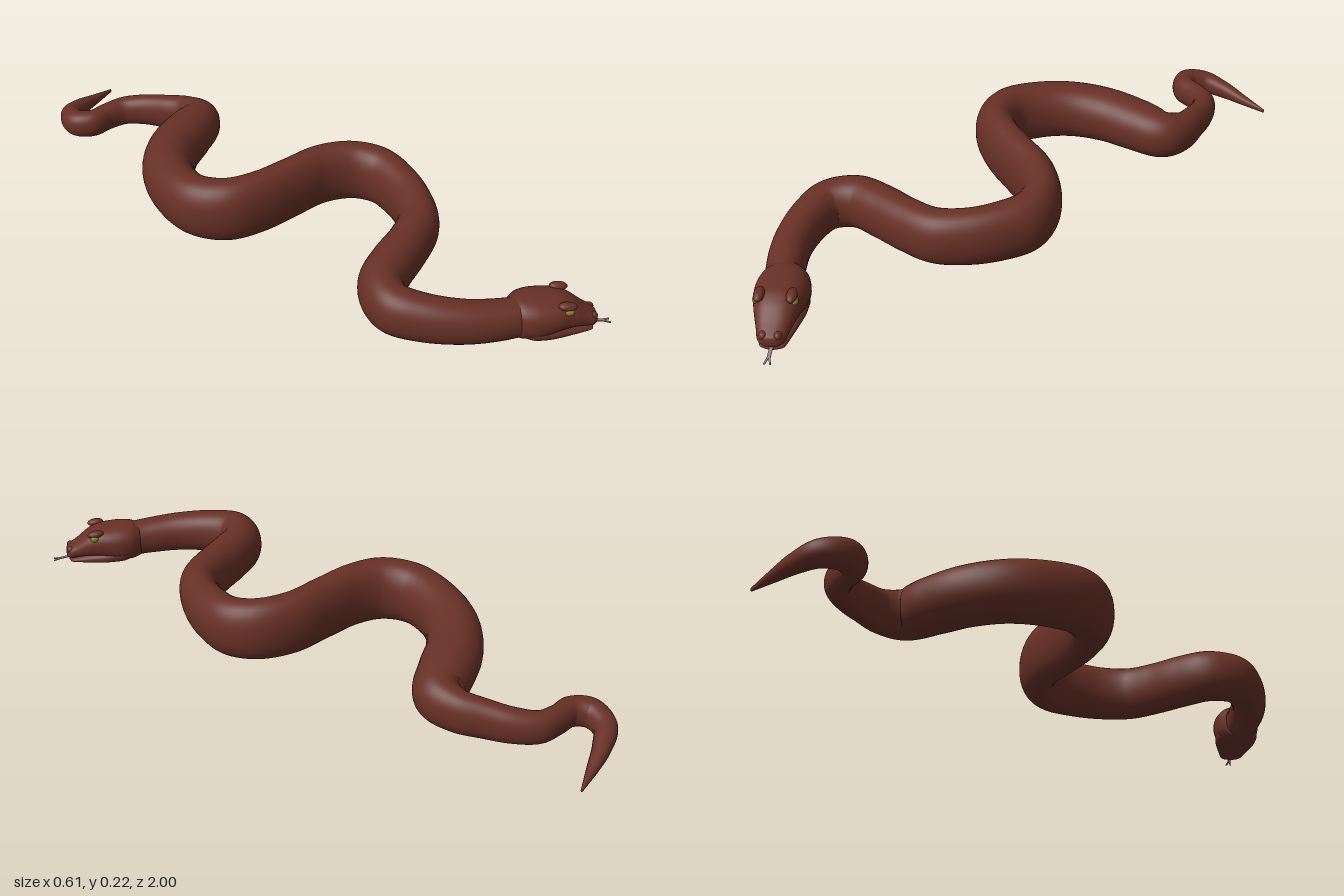
import * as THREE from 'three';

const V = (x, y, z) => new THREE.Vector3(x, y, z);

// Skin closed rounded cross-sections { c, t, hw, y0, y1, n } into one smooth surface
function loft(sections, sides) {
  const pos = [], idx = [];
  for (const { c, t, hw, y0, y1, n } of sections) {
    for (let j = 0; j < sides; j++) {
      const a = (j / sides) * Math.PI * 2;
      const round = (v) => Math.sign(v) * Math.abs(v) ** (2 / n);
      const u = round(Math.cos(a)) * hw;
      pos.push(c.x + t.z * u, (y0 + y1) / 2 + round(Math.sin(a)) * (y1 - y0) / 2, c.z - t.x * u);
    }
  }
  const last = sections.length - 1;
  for (let i = 0; i < last; i++) {
    for (let j = 0; j < sides; j++) {
      const a = i * sides + j, b = i * sides + (j + 1) % sides;
      idx.push(a, b, b + sides, a, b + sides, a + sides);
    }
  }
  // end caps
  for (const k of [0, last]) {
    const s = sections[k], centre = pos.length / 3;
    pos.push(s.c.x, (s.y0 + s.y1) / 2, s.c.z);
    for (let j = 0; j < sides; j++) {
      const a = k * sides + j, b = k * sides + (j + 1) % sides;
      idx.push(centre, k ? a : b, k ? b : a);
    }
  }
  const g = new THREE.BufferGeometry();
  g.setAttribute('position', new THREE.Float32BufferAttribute(pos, 3));
  g.setIndex(idx);
  g.computeVertexNormals();
  return g;
}

// Straight loft along z through rows of [z, halfWidth, bottom, top]
function headLoft(rows, n) {
  const a = new THREE.CatmullRomCurve3(rows.map((r) => V(r[0], r[2], r[3])), false, 'catmullrom', 0.4);
  const b = new THREE.CatmullRomCurve3(rows.map((r) => V(r[1], 0, 0)), false, 'catmullrom', 0.4);
  const sections = [];
  for (let i = 0; i <= 48; i++) {
    const p = a.getPoint(i / 48);
    sections.push({ c: V(0, 0, p.x), t: V(0, 0, 1), hw: b.getPoint(i / 48).x, y0: p.y, y1: p.z, n });
  }
  return loft(sections, 40);
}

export function createModel() {
  const skin = new THREE.MeshStandardMaterial({ color: 0x673026 });
  skin.name = 'brown skin';
  const eyeMat = new THREE.MeshStandardMaterial({ color: 0x8a8628 });
  eyeMat.name = 'olive eye';
  const tongueMat = new THREE.MeshStandardMaterial({ color: 0x9a7d82 });
  tongueMat.name = 'pale tongue';
  const model = new THREE.Group();
  model.name = 'snake';
  const add = (parent, name, geo, mat) => {
    const m = new THREE.Mesh(geo, mat);
    m.name = name;
    parent.add(m);
    return m;
  };

  // Body path from tail tip to neck: [x, z, width, top]
  const path = [
    [0.197, -0.992, 0.006, 0.012], [0.11, -0.982, 0.034, 0.035], [0.03, -0.97, 0.054, 0.06],
    [-0.04, -0.945, 0.07, 0.08], [-0.069, -0.889, 0.078, 0.092], [-0.04, -0.842, 0.074, 0.096],
    [0.02, -0.828, 0.068, 0.1], [0.08, -0.804, 0.076, 0.104], [0.121, -0.746, 0.08, 0.115],
    [0.148, -0.672, 0.084, 0.128], [0.168, -0.593, 0.1, 0.142], [0.148, -0.524, 0.142, 0.16],
    [0.053, -0.492, 0.166, 0.174], [-0.048, -0.46, 0.169, 0.182], [-0.143, -0.397, 0.164, 0.19],
    [-0.206, -0.307, 0.154, 0.199], [-0.233, -0.201, 0.144, 0.209], [-0.196, -0.111, 0.136, 0.216],
    [-0.111, -0.058, 0.122, 0.219], [0.005, -0.026, 0.12, 0.217], [0.122, 0.005, 0.12, 0.214],
    [0.206, 0.069, 0.124, 0.208], [0.236, 0.148, 0.13, 0.201], [0.217, 0.228, 0.128, 0.194],
    [0.172, 0.312, 0.124, 0.186], [0.1, 0.381, 0.128, 0.18], [0.005, 0.407, 0.128, 0.177],
    [-0.1, 0.421, 0.134, 0.175], [-0.19, 0.444, 0.132, 0.171], [-0.238, 0.513, 0.126, 0.163],
    [-0.217, 0.598, 0.118, 0.153], [-0.159, 0.693, 0.112, 0.14], [-0.09, 0.762, 0.11, 0.129],
    [-0.015, 0.82, 0.1, 0.122],
  ];
  const spine = new THREE.CatmullRomCurve3(path.map((p) => V(p[0], 0, p[1])));
  const size = new THREE.CatmullRomCurve3(path.map((p) => V(p[2], p[3], 0)), false, 'catmullrom', 0.5);
  const rings = [];
  for (let i = 0; i <= 330; i++) {
    const u = i / 330, s = size.getPoint(u);
    const y0 = 0.008 * Math.min(1, u * 3);
    rings.push({ c: spine.getPoint(u), t: spine.getTangent(u), hw: Math.max(s.x, 0.004) / 2, y0, y1: s.y, n: 2.15 });
  }
  add(model, 'body', loft(rings, 36), skin);

  // Head, turned to the model's left
  const head = new THREE.Group();
  head.name = 'head';
  head.position.set(-0.03, 0, 0.8);
  head.rotation.y = Math.PI / 4;
  model.add(head);

  add(head, 'skull', headLoft([
    [-0.03, 0.046, 0.014, 0.118], [-0.005, 0.066, 0.008, 0.129], [0.03, 0.075, 0.008, 0.132],
    [0.07, 0.074, 0.018, 0.13], [0.11, 0.066, 0.028, 0.126], [0.145, 0.056, 0.03, 0.11],
    [0.18, 0.045, 0.027, 0.083], [0.205, 0.038, 0.023, 0.067], [0.218, 0.026, 0.027, 0.058],
    [0.222, 0.008, 0.035, 0.048],
  ], 2.4), skin);
  add(head, 'lowerJaw', headLoft([
    [0.0, 0.05, 0.012, 0.06], [0.03, 0.07, 0.006, 0.07], [0.08, 0.068, 0.005, 0.058],
    [0.13, 0.056, 0.006, 0.046], [0.18, 0.042, 0.008, 0.033], [0.205, 0.033, 0.01, 0.026],
    [0.214, 0.012, 0.013, 0.022],
  ], 2.3), skin);

  for (const side of [-1, 1]) {
    const prefix = side > 0 ? 'left' : 'right';
    const blob = (name, mat, x, y, z, sx, sy, sz) => {
      const m = add(head, prefix + name, new THREE.SphereGeometry(1, 24, 16), mat);
      m.position.set(side * x, y, z);
      m.scale.set(sx, sy, sz);
      return m;
    };
    blob('Eye', eyeMat, 0.053, 0.107, 0.121, 0.009, 0.012, 0.014);
    // brow ridge above the eye, and nostril bump
    blob('Brow', skin, 0.044, 0.12, 0.117, 0.015, 0.012, 0.027).rotation.x = 0.12;
    blob('Nostril', skin, 0.02, 0.056, 0.205, 0.012, 0.012, 0.014);
  }

  // Forked tongue
  const fork = new THREE.Shape([
    [-0.005, 0], [0.005, 0], [0.005, 0.05], [0.01, 0.072], [0.006, 0.072],
    [0, 0.054], [-0.006, 0.072], [-0.01, 0.072], [-0.005, 0.05],
  ].map((p) => new THREE.Vector2(...p)));
  const tongue = add(head, 'tongue',
    new THREE.ExtrudeGeometry(fork, { depth: 0.003, bevelEnabled: false }).rotateX(Math.PI / 2), tongueMat);
  tongue.position.set(0, 0.025, 0.197);
  tongue.rotation.x = 0.17;

  return model;
}
